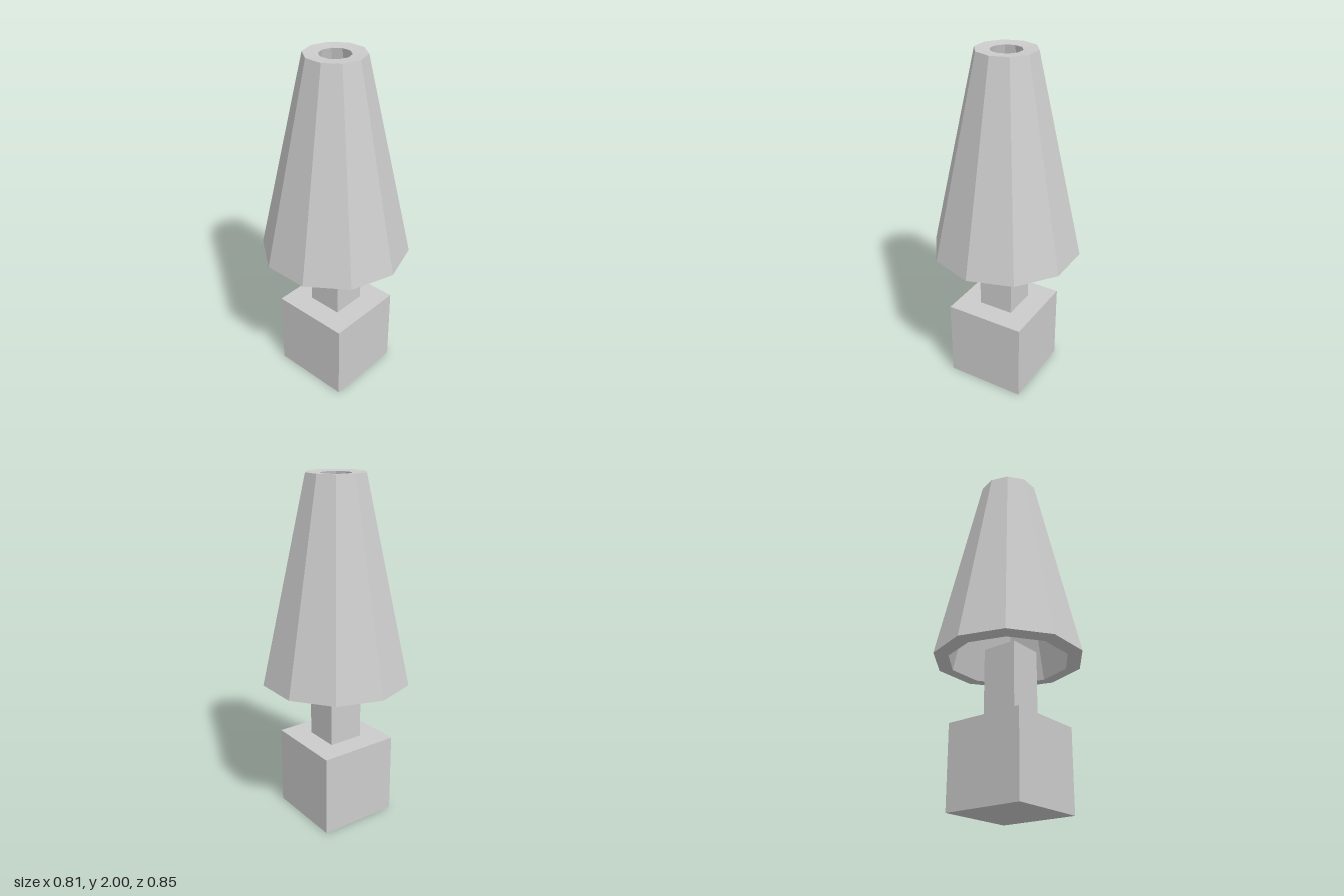
import * as THREE from 'three';

export function createModel() {
  const model = new THREE.Group();
  const material = new THREE.MeshStandardMaterial({ color: 0xcccccc, flatShading: true });

  const add = (name, geometry, x, y, z) => {
    const mesh = new THREE.Mesh(geometry, material);
    mesh.name = name;
    mesh.position.set(x, y, z);
    model.add(mesh);
  };

  // square block foot and post; the post ends just inside the shade
  const block = (name, width, bottom, top) =>
    add(name, new THREE.BoxGeometry(width, top - bottom, width), -0.006, (bottom + top) / 2, 0.01);
  block('base', 0.471, 0, 0.473);
  block('post', 0.208, 0.473, 0.91);

  // hollow ten-sided shade, open at both ends: closed wall profile (radius, height)
  const profile = [
    [0.427, 0.847], [0.168, 2], [0.087, 1.995], [0.343, 0.84], [0.427, 0.847],
  ].map(([r, y]) => new THREE.Vector2(r, y));
  add('shade', new THREE.LatheGeometry(profile, 10), 0, 0, -0.002);

  return model;
}
